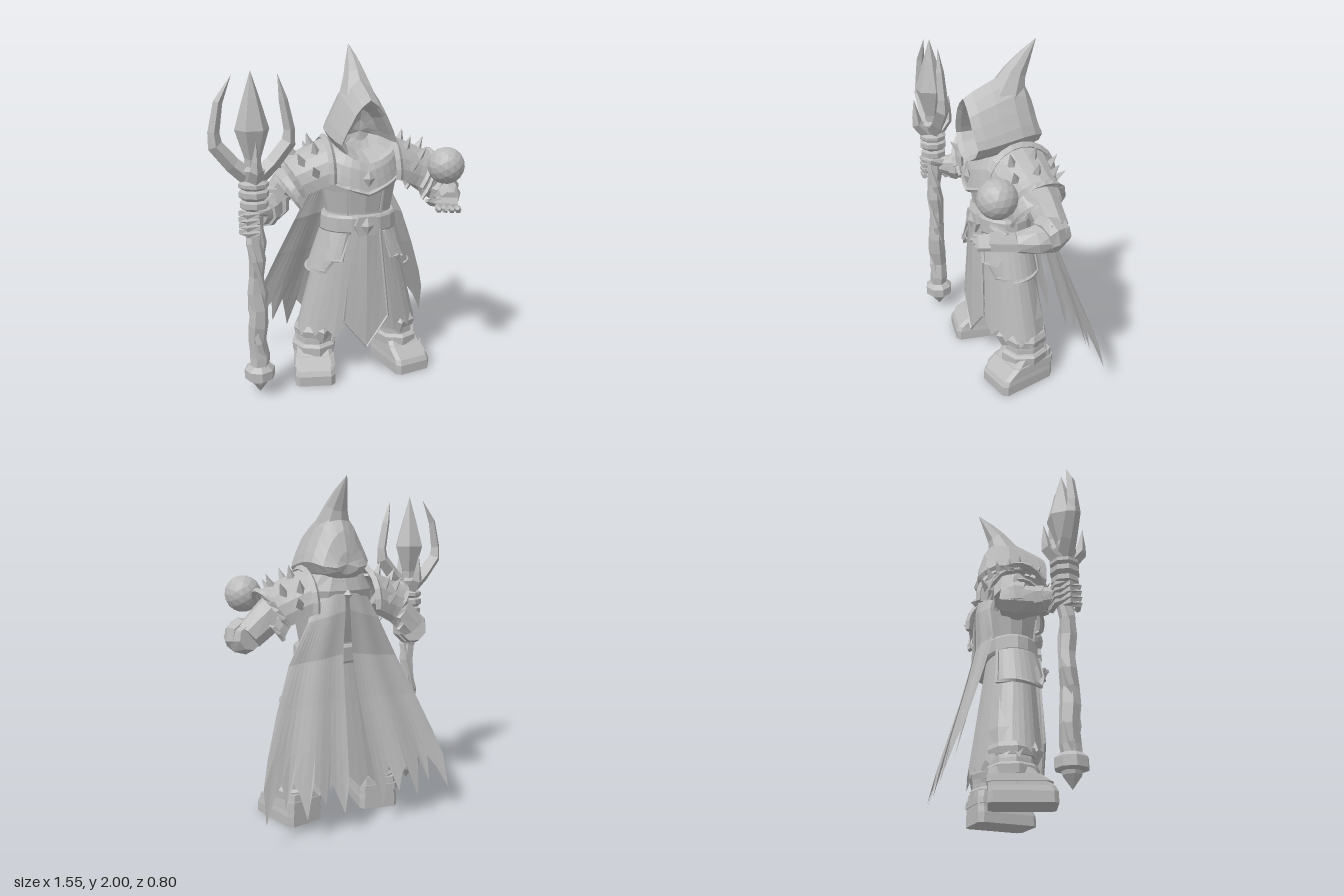
import * as THREE from 'three';

const V = (x, y, z) => new THREE.Vector3(x, y, z);
const stone = new THREE.MeshStandardMaterial({ color: 0xbababa, flatShading: true, side: THREE.DoubleSide });
stone.name = 'stone grey';

function add(parent, name, geo, x = 0, y = 0, z = 0) {
  const m = new THREE.Mesh(geo, stone);
  m.name = name;
  m.position.set(x, y, z);
  parent.add(m);
  return m;
}

// grid surface from a rule f(s, t) -> Vector3
function sheet(cols, rows, f) {
  const pos = [], idx = [], w = cols + 1;
  for (let j = 0; j <= rows; j++) for (let i = 0; i <= cols; i++) pos.push(...f(i / cols, j / rows, i, j).toArray());
  for (let j = 0; j < rows; j++) for (let i = 0; i < cols; i++) {
    const a = j * w + i, b = a + 1, c = a + w, d = c + 1;
    idx.push(a, b, d, a, d, c);
  }
  const g = new THREE.BufferGeometry();
  g.setAttribute('position', new THREE.Float32BufferAttribute(pos, 3));
  g.setIndex(idx);
  const flat = g.toNonIndexed();
  flat.computeVertexNormals();
  return flat;
}

// closed rings skinned together from top to bottom, with both ends capped
function loft(rings) {
  const n = rings[0].length;
  const mid = r => r.map(() => r.reduce((a, p) => a.add(p), V(0, 0, 0)).divideScalar(n));
  const all = [mid(rings[0]), ...rings, mid(rings[rings.length - 1])];
  return sheet(n, all.length - 1, (s, t, i, j) => all[j][i % n]);
}

// faceted tube along points with a radius at each
function limb(points, radii, sides = 6) {
  const p = points.map(a => V(...a));
  return loft(p.map((c, i) => {
    const dir = p[Math.min(i + 1, p.length - 1)].clone().sub(p[Math.max(i - 1, 0)]).normalize();
    const q = new THREE.Quaternion().setFromUnitVectors(V(0, 1, 0), dir);
    return Array.from({ length: sides }, (_, k) => {
      const a = k / sides * Math.PI * 2;
      return V(Math.cos(a), 0, Math.sin(a)).multiplyScalar(radii[i]).applyQuaternion(q).add(c);
    });
  }));
}
const rod = (points, r, sides = 4) => limb(points, points.map(() => r), sides);

// horizontal oval ring: height, half width, front z, back z, centre x
const oval = ([y, hw, zf, zb, cx = 0], n = 14) => Array.from({ length: n }, (_, k) => {
  const a = -k / n * Math.PI * 2;
  return V(cx + hw * Math.sin(a), y, (zf + zb) / 2 + (zf - zb) / 2 * Math.cos(a));
});

// horizontal rectangle with cut corners: height, half width, front z, back z
const block = ([y, w, f, b]) => [[w, f - .025], [w * .8, f], [-w * .8, f], [-w, f - .025], [-w, b + .03], [-w * .8, b], [w * .8, b], [w, b + .03]]
  .map(([x, z]) => V(x, y, z)).reverse();

function plate(points, depth) {
  const s = new THREE.Shape(points.map(p => new THREE.Vector2(...p)));
  return new THREE.ExtrudeGeometry(s, { depth, bevelEnabled: false });
}

function diamond(parent, name, r, x, y, z) {
  add(parent, name, new THREE.OctahedronGeometry(r), x, y, z).scale.set(0.75, 1, 0.4);
}

function hood(body) {
  const half = [[0, 1], [.3, .9], [.53, .77], [.72, .6], [.9, .43], [1, .31], [.8, .16], [.4, .05], [0, 0]];
  const outline = half.concat(half.slice(1, -1).reverse().map(([u, v]) => [-u, v]));
  // z, half width, bottom, top: inside of the opening, rim, then shell to the back
  const rings = [[.06, .06, 1.46, 1.58], [.09, .115, 1.41, 1.65], [.225, .145, 1.375, 1.69], [.25, .162, 1.36, 1.715],
    [.2, .178, 1.36, 1.745], [.1, .192, 1.37, 1.79], [0, .197, 1.38, 1.83], [-.08, .18, 1.39, 1.81], [-.14, .14, 1.41, 1.7], [-.175, .07, 1.45, 1.58]];
  add(body, 'hood', loft(rings.map(([z, w, b, t]) =>
    outline.map(([u, v]) => V(u * w, b + v * (t - b), z - .03 * u * u + .015 * Math.sin(v * Math.PI))))));
  add(body, 'hoodPeak', limb([[0, 1.7, 0], [0, 1.83, -.055], [0, 1.91, -.112], [0, 2, -.18]], [.115, .066, .038, 0], 8));
}

function torso(body) {
  add(body, 'torso', loft([[1.45, .16, .04, -.15], [1.36, .235, .17, -.18], [1.28, .25, .21, -.16], [1.18, .225, .19, -.14],
    [1.05, .2, .17, -.11], [.9, .21, .17, -.11]].map(r => oval(r))));
  // chest mantle with a pointed lower edge
  const mantle = (s, t) => {
    const a = s * 1.3, top = 1.365 + .07 * Math.abs(s), y = top + (1.18 + .11 * Math.abs(s) - top) * t, r = .18 + .08 * Math.sqrt(t);
    return V(r * Math.sin(a), y, .01 + (.17 + .055 * Math.sqrt(t)) * Math.cos(a));
  };
  add(body, 'chestMantle', sheet(12, 3, (u, t) => mantle(1 - u * 2, t)));
  add(body, 'mantleTrim', rod(Array.from({ length: 13 }, (_, i) => mantle(i / 6 - 1, 1).toArray()), .014));
  diamond(body, 'chestGem', .05, 0, 1.27, .235);
  for (const x of [-.1, .1]) add(body, 'bodiceSeam', rod([[x * 1.1, 1.2, .175], [x, 1.04, .155]], .008));
  // belt and buckle
  add(body, 'belt', loft([[1.04, .22, .19, -.13], [1.025, .23, .2, -.14], [.945, .235, .2, -.14], [.93, .225, .19, -.13]].map(r => oval(r, 16))));
  add(body, 'buckle', plate([[-.075, .985], [-.05, 1.04], [.05, 1.04], [.075, .985], [.05, .925], [-.05, .925]], .03), 0, 0, .185);
  diamond(body, 'buckleGem', .055, 0, .985, .215);
  add(body, 'capeClasp', new THREE.OctahedronGeometry(.03), 0, 1.34, -.19);
}

function robe(body) {
  // pleated skirt, open at the front
  add(body, 'skirt', sheet(32, 4, (s, t, i) => {
    const a = -.33 - s * (Math.PI * 2 - .66), k = 1 + (i % 2 ? .02 : -.015) * t;
    const hem = .315 + .06 * Math.cos(a) + (i % 2 ? -.05 : .01) - .03 * Math.abs(Math.sin(a * 3));
    const zf = .17 + .03 * t, zb = -.11 - .1 * t;
    return V((.215 + .175 * t) * k * Math.sin(a), .96 + (hem - .96) * t, (zf + zb) / 2 + (zf - zb) / 2 * k * Math.cos(a));
  }));
  // front cloth with a centre ridge and a raised border
  const cloth = (s, t) => V(s * (.085 + .055 * t), .95 - (.55 + .18 * (1 - Math.abs(s))) * t, .19 + .015 * t + .02 * (1 - Math.abs(s)));
  add(body, 'tabard', sheet(4, 2, (u, t) => cloth(1 - 2 * u, t)));
  const border = [[-1, 0], [-1, .5], [-1, 1], [0, 1], [1, 1], [1, .5], [1, 0]];
  add(body, 'tabardTrim', rod(border.map(([s, t]) => cloth(s, t).toArray()), .009));
}

// parts on the +x side of the body, mirrored later
function sideParts() {
  const g = new THREE.Group();
  // hip guard wrapping the side, with a stepped rim
  const hip = (s, t) => {
    const a = .5 + s * 1.75, low = .7 + .07 * (s < .2 ? 1 : 0) + .02 * Math.abs(s - .5);
    return V((.235 + .085 * t) * Math.sin(a), .94 + (low - .94) * t, .03 + (.175 + .025 * t) * Math.cos(a));
  };
  add(g, 'hipGuard', sheet(10, 2, (s, t) => hip(1 - s, t)));
  const rim = Array.from({ length: 11 }, (_, i) => hip(i / 10, 1).toArray());
  add(g, 'hipGuardTrim', rod([hip(0, 0).toArray(), ...rim, hip(1, 0).toArray()], .013));
  // leg, greave bands, knee spike and blocky boot
  add(g, 'leg', loft([[.75, .11, .11, -.1, .13], [.42, .12, .11, -.14, .23], [.24, .115, .11, -.14, .265], [.1, .12, .11, -.14, .27]].map(r => oval(r, 8))));
  add(g, 'greaveBand', loft([[.215, .125, .12, -.14, .27], [.2, .14, .14, -.155, .27], [.15, .135, .14, -.15, .27]].map(r => oval(r, 8))));
  add(g, 'kneeGuard', loft([[.33, .12, .11, -.14, .26], [.3, .132, .13, -.15, .265], [.26, .125, .12, -.14, .265]].map(r => oval(r, 8))));
  add(g, 'kneeSpike', limb([[.25, .26, .09], [.25, .32, .13], [.25, .38, .11]], [.05, .04, 0], 4));
  const boot = new THREE.Group();
  boot.name = 'boot';
  boot.position.set(.275, 0, 0);
  boot.rotation.y = .2;
  g.add(boot);
  add(boot, 'bootFoot', loft([[.19, .105, .09, -.14], [.14, .112, .14, -.145], [.09, .115, .21, -.145], [.06, .12, .225, -.145], [0, .12, .225, -.145]].map(block)));
  add(boot, 'bootStrap', loft([[.15, .118, .14, -.15], [.11, .122, .2, -.15]].map(block)));

  // layered shoulder armour
  const shell = (x0, x1, c0, c1, r0, r1) => (s, t) => {
    const a = -.15 + t * (Math.PI + .3), r = r0 + (r1 - r0) * s;
    const flare = s > .9 ? 1.05 : 1;
    return V(x0 + (x1 - x0) * s - .1 * s * (1 - Math.sin(a)), c0 + (c1 - c0) * s + r * 1.02 * Math.sin(a) * flare, r * Math.cos(a) * flare);
  };
  const upper = shell(.2, .47, 1.275, 1.2, .2, .155), lower = shell(.33, .485, 1.21, 1.12, .15, .125);
  const arc = (f, s) => Array.from({ length: 13 }, (_, i) => f(s, i / 12).toArray());
  add(g, 'pauldron', sheet(4, 10, upper));
  add(g, 'pauldronCollar', rod(arc(upper, 0), .022));
  add(g, 'pauldronTrim', rod(arc(upper, 1), .018));
  add(g, 'lowerPauldron', sheet(3, 10, lower));
  add(g, 'lowerPauldronTrim', rod(arc(lower, 1), .014));
  for (const [s, t] of [[.3, .35], [.3, .55], [.3, .75], [.65, .3], [.7, .5], [.65, .7], [.45, .15], [.45, .87]]) {
    const p = upper(s, t), out = V(.06 + .1 * s, p.y - 1.2, p.z).normalize().add(V(0, .35, 0)).normalize();
    const spike = add(g, 'shoulderSpike', new THREE.ConeGeometry(.03, .085, 4), ...p.clone().addScaledVector(out, .028).toArray());
    spike.quaternion.setFromUnitVectors(V(0, 1, 0), out);
  }

  // torn cape half: height, inner x, outer x, z
  const rows = [[1.42, .01, .16, -.16], [1.25, .015, .23, -.19], [1, .03, .35, -.185], [.75, .045, .45, -.24], [.5, .065, .54, -.305], [.26, .085, .605, -.365]];
  const tear = [.02, -.13, -.02, .08, -.07, .03, .07, -.12, .0, .1, -.06, .09, .02, -.11, .08];
  add(g, 'cape', sheet(14, 5, (s, t, i, j) => {
    const [y, x0, x1, z] = rows[j], rip = j === 5 ? tear[i] : 0;
    const fold = .012 * Math.sin(s * 11) * t;
    return V(x0 + (x1 - x0) * s - rip * .25 * s, y + rip - .08 * s * (1 - t), z + fold + .06 * s * s * (1 - .5 * t) + rip * .25);
  }));
  return g;
}

function staff(parent) {
  const g = new THREE.Group();
  g.name = 'staff';
  g.position.set(-.545, 0, .2);
  parent.add(g);
  const ys = Array.from({ length: 12 }, (_, i) => .14 + i * .1);
  add(g, 'shaft', limb(ys.map((y, i) => [.008 * Math.sin(i * 2.1), y, .008 * Math.cos(i * 1.7)]), ys.map((y, i) => (i < 5 ? .052 : .043) + (i % 2) * .006), 6));
  for (const ph of [0, 2.6]) add(g, 'shaftRoot', limb(ys.map((y, i) => [.035 * Math.cos(i * .8 + ph), y, .035 * Math.sin(i * .8 + ph)]), ys.map((y, i) => .018 + (i % 3) * .005), 5));
  const turned = pts => new THREE.LatheGeometry(pts.map(p => new THREE.Vector2(...p)), 8);
  add(g, 'pommel', turned([[0, .01], [.05, .08], [.055, .1], [.09, .11], [.09, .165], [.06, .19], [0, .19]]));
  add(g, 'neckRings', turned([[.05, 1.13], [.08, 1.15], [.08, 1.18], [.06, 1.19], [.085, 1.21], [.085, 1.24], [.065, 1.25], [.085, 1.265], [.085, 1.285], [.06, 1.3], [.075, 1.36], [0, 1.4]]));
  add(g, 'spearHead', limb([[0, 1.33, 0], [0, 1.42, 0], [0, 1.58, 0], [0, 1.75, 0], [0, 1.89, 0]], [.04, .045, .095, .045, 0], 6));
  for (const k of [-1, 1]) {
    add(g, 'forkProng', limb([[.03, 1.32, 0], [.11, 1.39, 0], [.2, 1.5, 0], [.205, 1.57, 0], [.175, 1.73, 0], [.1 + .045 * (k > 0), 1.87, 0]].map(([x, y, z]) => [x * k, y, z]), [.05, .045, .042, .032, .025, 0], 4));
    add(g, 'shortProng', limb([[0, 1.3, .04 * k], [0, 1.37, .1 * k], [0, 1.42, .105 * k], [0, 1.53, .115 * k]], [.04, .035, .025, 0], 4));
  }
}

function arms(root) {
  // right arm reaching to the staff
  add(root, 'rightUpperArm', limb([[-.18, 1.3, 0], [-.31, 1.21, -.06], [-.39, 1.1, -.09]], [.1, .095, .08], 8));
  add(root, 'rightForearm', limb([[-.38, 1.1, -.12], [-.41, 1.09, -.04], [-.46, 1.08, .07], [-.52, 1.08, .16]], [.08, .095, .08, .055], 8));
  add(root, 'rightCuff', limb([[-.385, 1.1, -.08], [-.4, 1.1, -.04], [-.42, 1.1, .01]], [.095, .11, .1], 8));
  add(root, 'rightWristBand', limb([[-.455, 1.08, .07], [-.48, 1.08, .11]], [.09, .08], 8));
  for (let i = 0; i < 4; i++) {
    const y = 1.01 + i * .036;
    add(root, 'rightFinger', limb([[-.5, y, .13], [-.59, y, .14], [-.615, y, .2], [-.59, y, .26], [-.53, y, .27]], [.022, .024, .024, .023, .017], 5));
  }
  add(root, 'rightThumb', limb([[-.49, 1.1, .15], [-.485, 1.13, .24], [-.54, 1.13, .27]], [.03, .026, .015], 5));
  // left arm with an open palm under the orb
  add(root, 'leftUpperArm', limb([[.42, 1.31, 0], [.53, 1.22, -.02], [.65, 1.12, -.03]], [.1, .098, .085], 8));
  add(root, 'leftForearm', limb([[.655, 1.12, -.08], [.67, 1.11, 0], [.67, 1.1, .09], [.64, 1.09, .18]], [.07, .095, .08, .055], 8));
  add(root, 'leftCuff', limb([[.66, 1.12, -.03], [.67, 1.12, .02], [.68, 1.11, .06]], [.09, .105, .09], 8));
  add(root, 'leftElbowGuard', limb([[.68, 1.1, 0], [.71, 1.14, 0], [.73, 1.2, .03]], [.06, .045, 0], 4));
  const palm = add(root, 'leftPalm', new THREE.BoxGeometry(.13, .045, .16), .6, 1.085, .23);
  palm.rotation.y = -.45;
  for (let i = 0; i < 4; i++) {
    const x = .51 + i * .034, z = .28 + i * .014;
    add(root, 'leftFinger', limb([[x + .01, 1.085, z], [x - .01, 1.085, z + .06], [x - .02, 1.1, z + .1 - Math.abs(i - 1) * .015]], [.02, .019, .012], 5));
  }
  add(root, 'leftThumb', limb([[.57, 1.09, .2], [.5, 1.1, .22], [.46, 1.12, .25]], [.027, .024, .012], 5));
  add(root, 'orb', new THREE.IcosahedronGeometry(.108, 2), .57, 1.325, .26);
}

export function createModel() {
  const root = new THREE.Group();
  root.name = 'hoodedMage';
  const body = new THREE.Group();
  body.name = 'body';
  body.position.x = .11;
  root.add(body);
  hood(body);
  torso(body);
  robe(body);
  const left = sideParts();
  left.name = 'leftSide';
  const right = left.clone();
  right.name = 'rightSide';
  right.scale.x = -1;
  body.add(left, right);
  arms(root);
  staff(root);
  return root;
}
